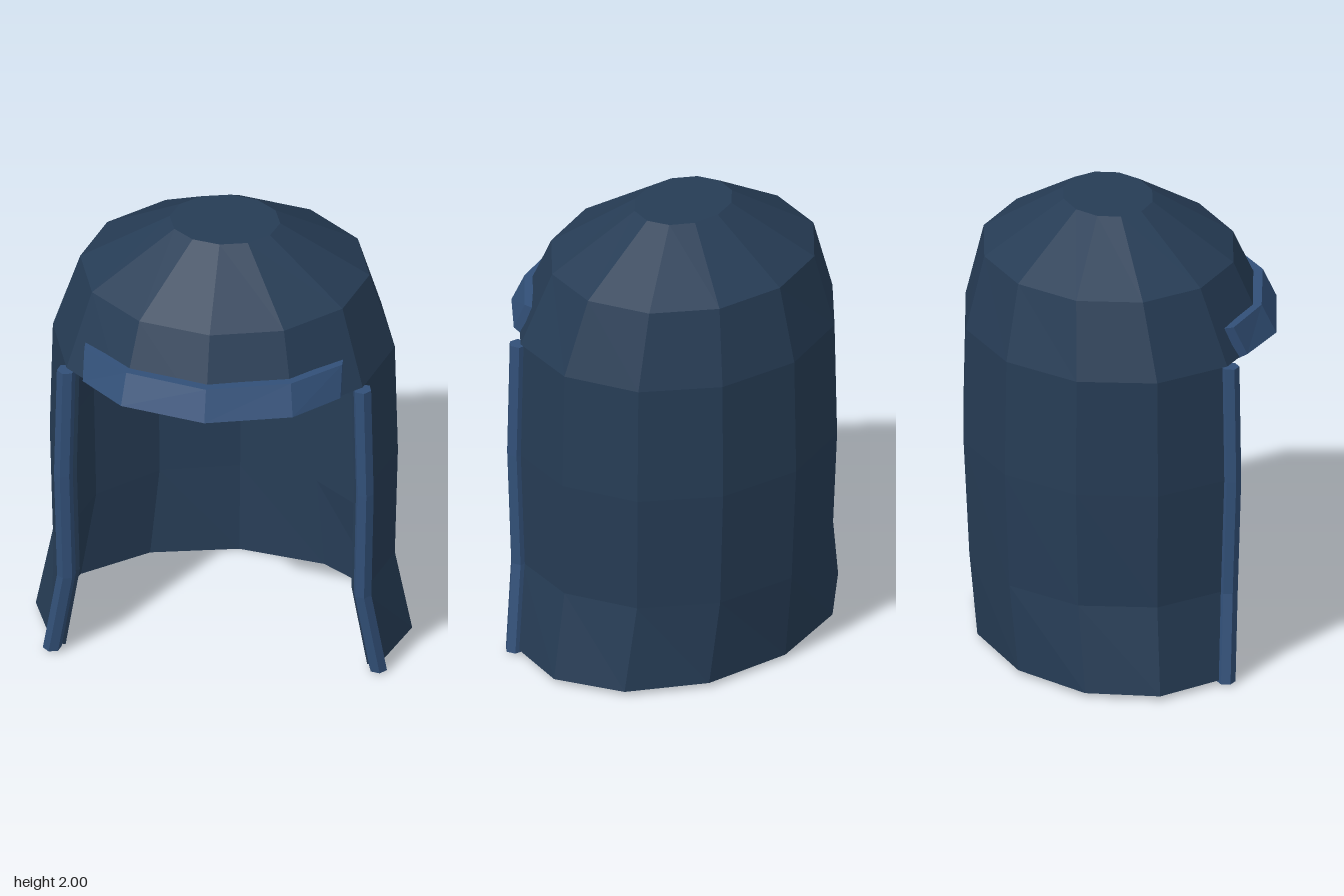
import * as THREE from 'three';

const SIDES = 12;
const THICK = 0.06;
// Shell rings, bottom to top: [y, inner y, x radius, z radius, z centre]
const RINGS = [
  [0.02, 0, 0.8, 0.6, -0.02],
  [0.4, 0.4, 0.727, 0.64, -0.015],
  [0.92, 0.92, 0.74, 0.665, -0.015],
  [1.44, 1.435, 0.727, 0.655, -0.015],
  [1.77, 1.73, 0.615, 0.54, -0.05],
  [2.0, 1.94, 0.235, 0.192, -0.053],
];
const BROW = 3; // ring where the face opening ends
const EDGE = 4; // the wall runs this many sides either way from the back

// Point on a ring; k counts sides from the back towards +x
function ringPoint(i, k, inner = false) {
  const [y, yIn, rx, rz, cz] = RINGS[i];
  const a = (k / SIDES) * Math.PI * 2;
  const t = inner ? THICK : 0;
  return [(rx - t) * Math.sin(a), inner ? yIn : y, cz - (rz - t) * Math.cos(a)];
}

function flatMesh(name, triangles, material) {
  const geometry = new THREE.BufferGeometry();
  geometry.setAttribute('position', new THREE.Float32BufferAttribute(triangles.flat(), 3));
  geometry.computeVertexNormals();
  const mesh = new THREE.Mesh(geometry, material);
  mesh.name = name;
  return mesh;
}

const addQuad = (out, a, b, c, d) => out.push(a, b, c, a, c, d);

// Joins closed cross-sections of equal length into a capped solid
function loft(sections) {
  const out = [];
  const n = sections[0].length;
  for (let s = 0; s < sections.length - 1; s++) {
    for (let j = 0; j < n; j++) {
      const m = (j + 1) % n;
      addQuad(out, sections[s][j], sections[s + 1][j], sections[s + 1][m], sections[s][m]);
    }
  }
  const first = sections[0];
  const last = sections[sections.length - 1];
  for (let j = 1; j < n - 1; j++) {
    out.push(first[0], first[j], first[j + 1]);
    out.push(last[0], last[j + 1], last[j]);
  }
  return out;
}

// Hood: closed dome above the brow, wall open at the front below it
function shellTriangles() {
  const out = [];
  for (let i = 0; i < RINGS.length - 1; i++) {
    const reach = i < BROW ? EDGE : SIDES / 2;
    for (let k = -reach; k < reach; k++) {
      addQuad(out, ringPoint(i, k), ringPoint(i + 1, k), ringPoint(i + 1, k + 1), ringPoint(i, k + 1));
      addQuad(out, ringPoint(i, k + 1, true), ringPoint(i + 1, k + 1, true),
        ringPoint(i + 1, k, true), ringPoint(i, k, true));
    }
    // Upright edges of the face opening
    if (i < BROW) {
      addQuad(out, ringPoint(i, EDGE), ringPoint(i + 1, EDGE),
        ringPoint(i + 1, EDGE, true), ringPoint(i, EDGE, true));
      addQuad(out, ringPoint(i, -EDGE, true), ringPoint(i + 1, -EDGE, true),
        ringPoint(i + 1, -EDGE), ringPoint(i, -EDGE));
    }
  }
  // Downward rims: hem of the wall, then underside of the brow
  const rim = (i, k) => addQuad(out, ringPoint(i, k), ringPoint(i, k + 1),
    ringPoint(i, k + 1, true), ringPoint(i, k, true));
  for (let k = -EDGE; k < EDGE; k++) rim(0, k);
  for (let k = EDGE; k < SIDES - EDGE; k++) rim(BROW, k);
  // Flat crown, outside and inside
  const top = RINGS.length - 1;
  const [y, yIn, , , cz] = RINGS[top];
  for (let k = 0; k < SIDES; k++) {
    out.push([0, y, cz], ringPoint(top, k + 1), ringPoint(top, k));
    out.push([0, yIn, cz], ringPoint(top, k, true), ringPoint(top, k + 1, true));
  }
  return out;
}

// Six-sided rod following the front edge of the wall
function trimTriangles(side) {
  const sections = [];
  for (let i = 0; i <= BROW; i++) {
    const [x, y, z] = ringPoint(i, side * EDGE);
    const section = [];
    for (let j = 0; j < 6; j++) {
      const a = (j / 6) * Math.PI * 2 + side * 0.25;
      section.push([x + 0.04 * Math.cos(a), i === 0 ? 0.01 : y, z + 0.012 + 0.04 * Math.sin(a)]);
    }
    sections.push(section);
  }
  return loft(sections);
}

// Sloping band over the brow, one cross-section per bend
function visorTriangles() {
  const stations = [[-0.548, -0.26], [-0.35, -0.09], [0, 0], [0.35, -0.09], [0.548, -0.26]];
  return loft(stations.map(([x, dz]) => {
    const bend = Math.abs(x) === 0.35 ? 0.015 : 0;
    return [
      [x + Math.sign(x) * bend, 1.45, 0.68 + dz],
      [x, 1.58, 0.62 + dz],
      [x - Math.sign(x) * bend, 1.58, 0.58 + dz],
      [x, 1.435, 0.64 + dz],
    ];
  }));
}

export function createModel() {
  const group = new THREE.Group();
  group.name = 'hood';
  const cloth = new THREE.MeshStandardMaterial({ color: 0x263c55, flatShading: true });
  const trim = new THREE.MeshStandardMaterial({ color: 0x325078, flatShading: true });

  group.add(flatMesh('shell', shellTriangles(), cloth));
  group.add(flatMesh('leftTrim', trimTriangles(1), trim));
  group.add(flatMesh('rightTrim', trimTriangles(-1), trim));
  group.add(flatMesh('visor', visorTriangles(), trim));
  return group;
}
